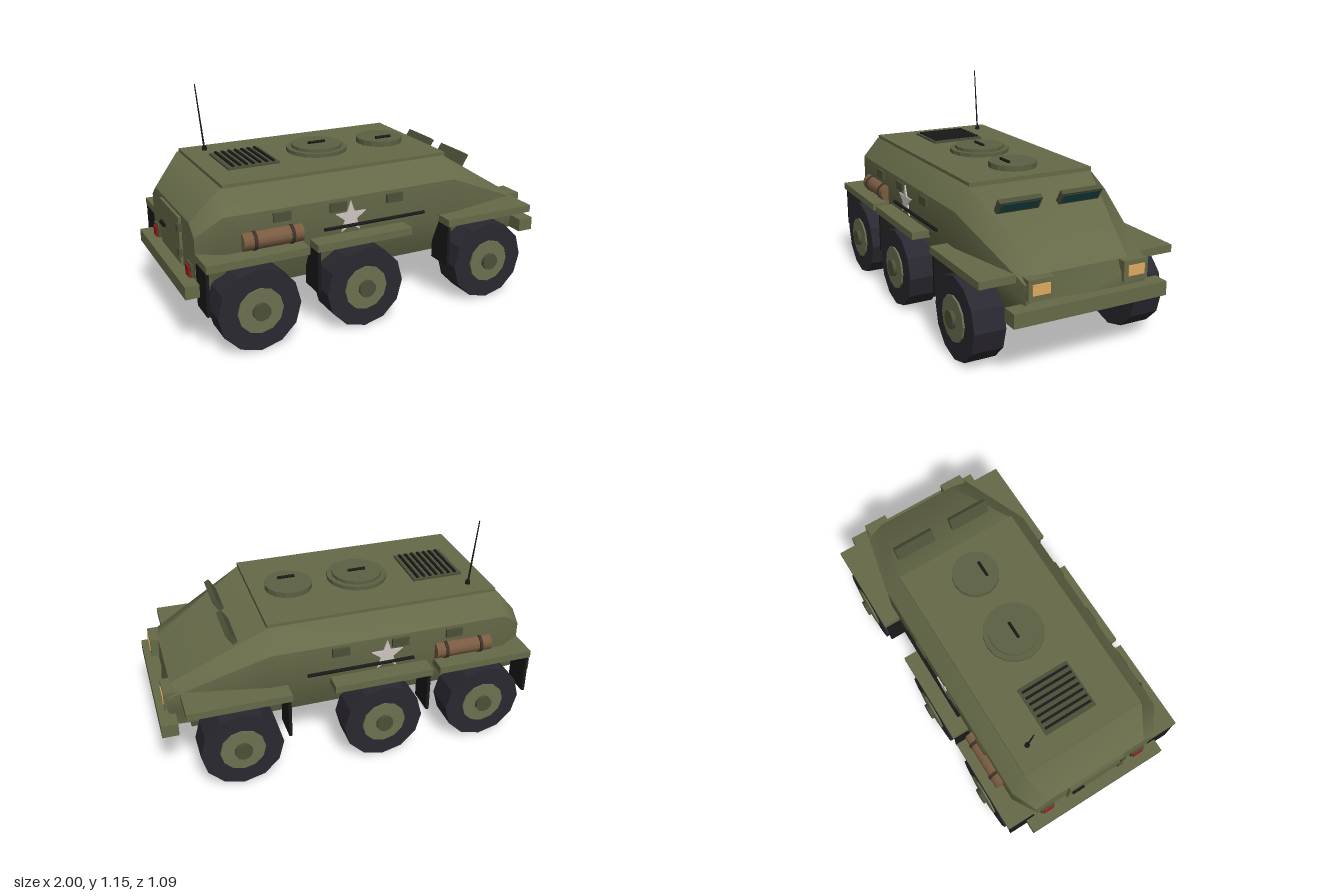
import * as THREE from 'three';
import { mergeGeometries } from 'three/addons/utils/BufferGeometryUtils.js';

const mat = (color, extra = {}) => new THREE.MeshStandardMaterial({ color, ...extra });
const M = {
  olive: mat(0x666a48), trim: mat(0x4c5038), hub: mat(0x6c7050, { flatShading: true }),
  tire: mat(0x2a2830, { flatShading: true }), black: mat(0x1a1a1a), glass: mat(0x1c4444),
  lamp: mat(0xe0aa60), red: mat(0x9a1c1c), canvas: mat(0x7a5c42), strap: mat(0x40322a), star: mat(0xcfc6c0),
};

export function createModel() {
  const root = new THREE.Group();
  root.name = 'armouredCar';

  const add = (name, geo, material, x = 0, y = 0, z = 0) => {
    const m = new THREE.Mesh(geo, material);
    m.name = name;
    m.position.set(x, y, z);
    root.add(m);
    return m;
  };
  // box given by its limits on each axis
  const box = (name, material, [x0, x1], [y0, y1], [z0, z1]) =>
    add(name, new THREE.BoxGeometry(x1 - x0, y1 - y0, Math.abs(z1 - z0)), material,
      (x0 + x1) / 2, (y0 + y1) / 2, (z0 + z1) / 2);
  // cylinder lying across the vehicle
  const across = (r, len, n) => new THREE.CylinderGeometry(r, r, len, n).rotateX(Math.PI / 2);
  const along = (r, len, n) => new THREE.CylinderGeometry(r, r, len, n).rotateZ(Math.PI / 2);

  add('hull', hullGeometry(), M.olive);
  box('belly', M.trim, [-0.84, 0.84], [0.23, 0.285], [-0.29, 0.29]);
  box('roofPlate', M.olive, [-0.78, 0.44], [0.77, 0.792], [-0.345, 0.345]);
  box('frontBumper', M.olive, [0.915, 1], [0.285, 0.355], [-0.41, 0.41]);
  box('rearBumper', M.olive, [-1, -0.925], [0.285, 0.35], [-0.41, 0.41]);

  // Roof hatches with grab handles
  const hatch = (name, x, r, y0, y1, n) =>
    add(name, new THREE.CylinderGeometry(r, r, y1 - y0, n), mat(0x5c6042, { flatShading: true }), x, (y0 + y1) / 2, 0);
  hatch('mainHatchRing', -0.135, 0.16, 0.785, 0.812, 16);
  hatch('mainHatchLid', -0.135, 0.132, 0.81, 0.828, 16);
  hatch('driverHatch', 0.24, 0.125, 0.785, 0.82, 16);
  add('mainHatchHandle', along(0.008, 0.095, 8), M.black, -0.135, 0.833, 0);
  add('driverHatchHandle', along(0.008, 0.09, 8), M.black, 0.24, 0.826, 0.045);

  // Engine grille
  box('grilleBase', M.trim, [-0.675, -0.405], [0.785, 0.803], [-0.15, 0.145]);
  for (let i = 0; i < 7; i++) {
    const x = -0.645 + i * 0.0355;
    box('grilleSlat', M.black, [x - 0.006, x + 0.006], [0.8, 0.812], [-0.138, 0.133]);
  }

  // Whip antenna
  const mast = add('antenna', new THREE.CylinderGeometry(0.003, 0.005, 0.35, 6), M.black, -0.683, 0.971, -0.255);
  mast.rotation.z = 0.1;
  add('antennaBase', new THREE.CylinderGeometry(0.012, 0.015, 0.025, 8), M.black, -0.665, 0.8, -0.255);

  // Wheels and axles
  for (const x of [-0.675, -0.115, 0.625]) {
    add('axle', across(0.03, 0.8, 8), M.black, x, 0.205, 0);
    for (const s of [1, -1]) {
      add('tire', across(0.21, 0.162, 12), M.tire, x, 0.21, s * 0.438);
      add('wheelDisc', across(0.115, 0.03, 12), M.hub, x, 0.21, s * 0.513);
      add('hubCap', across(0.045, 0.03, 10), M.trim, x, 0.21, s * 0.532);
    }
  }

  // Five-pointed star outline
  const star = new THREE.Shape();
  for (let i = 0; i < 10; i++) {
    const r = i % 2 ? 0.035 : 0.087, a = Math.PI / 2 + i * Math.PI / 5;
    star[i ? 'lineTo' : 'moveTo'](r * Math.cos(a), r * Math.sin(a));
  }
  const starGeo = new THREE.ExtrudeGeometry(star, { depth: 0.008, bevelEnabled: false });
  starGeo.translate(0, 0, -0.004);

  // Everything mirrored left and right
  for (const s of [1, -1]) {
    for (const [x0, x1] of [[-0.93, -0.415], [-0.375, 0.145], [0.365, 0.885]])
      box('fender', M.olive, [x0, x1], [0.445, 0.483], [s * 0.32, s * 0.523]);
    for (const x of [-0.922, -0.362, 0.377])
      box('mudFlap', M.black, [x - 0.008, x + 0.008], [0.225, 0.446], [s * 0.365, s * 0.51]);

    for (const x of [-0.52, -0.225, 0.09])
      box('visionSlot', M.trim, [x - 0.045, x + 0.045], [0.602, 0.648], [s * 0.42, s * 0.442]);
    add('starMarking', starGeo, M.star, -0.155, 0.56, s * 0.433);
    add('towRod', along(0.009, 0.565, 8), M.black, -0.018, 0.52, s * 0.44);

    add('canvasRoll', along(0.046, 0.305, 10), M.canvas, -0.572, 0.53, s * 0.427);
    for (const x of [-0.665, -0.475])
      add('rollStrap', along(0.051, 0.016, 10), M.strap, x, 0.53, s * 0.427);

    // Driver's visor with glass on its front
    const visor = new THREE.Group();
    visor.name = 'driverVisor';
    visor.position.set(0.605, 0.71, s * 0.17);
    visor.rotation.z = -0.55;
    const frame = new THREE.Mesh(new THREE.BoxGeometry(0.028, 0.072, 0.23), M.trim);
    const pane = new THREE.Mesh(new THREE.BoxGeometry(0.006, 0.05, 0.205), M.glass);
    frame.name = 'visorFrame';
    pane.name = 'visorGlass';
    pane.position.x = 0.014;
    visor.add(frame, pane);
    root.add(visor);

    box('headlightHousing', M.olive, [0.89, 0.965], [0.38, 0.48], [s * 0.187, s * 0.32]);
    box('headlight', M.lamp, [0.96, 0.97], [0.405, 0.457], [s * 0.21, s * 0.3]);
    box('tailLightHousing', M.trim, [-0.942, -0.92], [0.335, 0.415], [s * 0.245, s * 0.325]);
    box('tailLight', M.red, [-0.95, -0.935], [0.347, 0.403], [s * 0.257, s * 0.313]);
  }

  // Rear door
  box('rearDoor', M.olive, [-0.944, -0.92], [0.36, 0.6], [-0.165, 0.165]);
  box('doorHandle', M.black, [-0.957, -0.94], [0.47, 0.488], [-0.145, -0.075]);
  for (const y of [0.42, 0.55])
    box('doorHinge', M.trim, [-0.953, -0.935], [y - 0.02, y + 0.02], [0.145, 0.175]);
  return root;
}

// Hull lofted from rear to front; each section lists bottom, waist, shoulder, roof as [x, y, halfWidth]
function hullGeometry() {
  const sections = [
    [[-0.93, 0.28, 0.34], [-0.93, 0.45, 0.36], [-0.93, 0.56, 0.36], [-0.93, 0.615, 0.29]],
    [[-0.81, 0.28, 0.35], [-0.81, 0.46, 0.43], [-0.81, 0.665, 0.43], [-0.79, 0.775, 0.345]],
    [[0.45, 0.28, 0.35], [0.45, 0.46, 0.43], [0.45, 0.665, 0.43], [0.43, 0.775, 0.345]],
    [[0.93, 0.28, 0.31], [0.95, 0.38, 0.325], [0.95, 0.45, 0.325], [0.92, 0.48, 0.235]],
  ];
  const rings = sections.map(h => [
    ...h.map(([x, y, w]) => [x, y, w]),
    ...[...h].reverse().map(([x, y, w]) => [x, y, -w]),
  ]);
  const build = (points, index) => {
    const g = new THREE.BufferGeometry();
    g.setAttribute('position', new THREE.Float32BufferAttribute(points.flat(), 3));
    g.setIndex(index);
    g.computeVertexNormals();
    return g;
  };
  // Separate strips keep the long edges crisp
  const parts = [[0, 1, 2], [2, 3], [3, 4], [4, 5], [5, 6, 7], [7, 0]].map(cols => {
    const n = cols.length, index = [];
    for (let i = 0; i < rings.length - 1; i++)
      for (let j = 0; j < n - 1; j++) {
        const a = i * n + j, c = a + n;
        index.push(a, c, a + 1, a + 1, c, c + 1);
      }
    return build(rings.flatMap(r => cols.map(k => r[k])), index);
  });
  // End caps
  const rear = [], front = [];
  for (let k = 1; k < 7; k++) {
    rear.push(0, k, k + 1);
    front.push(0, k + 1, k);
  }
  parts.push(build(rings[0], rear), build(rings[rings.length - 1], front));
  return mergeGeometries(parts);
}
